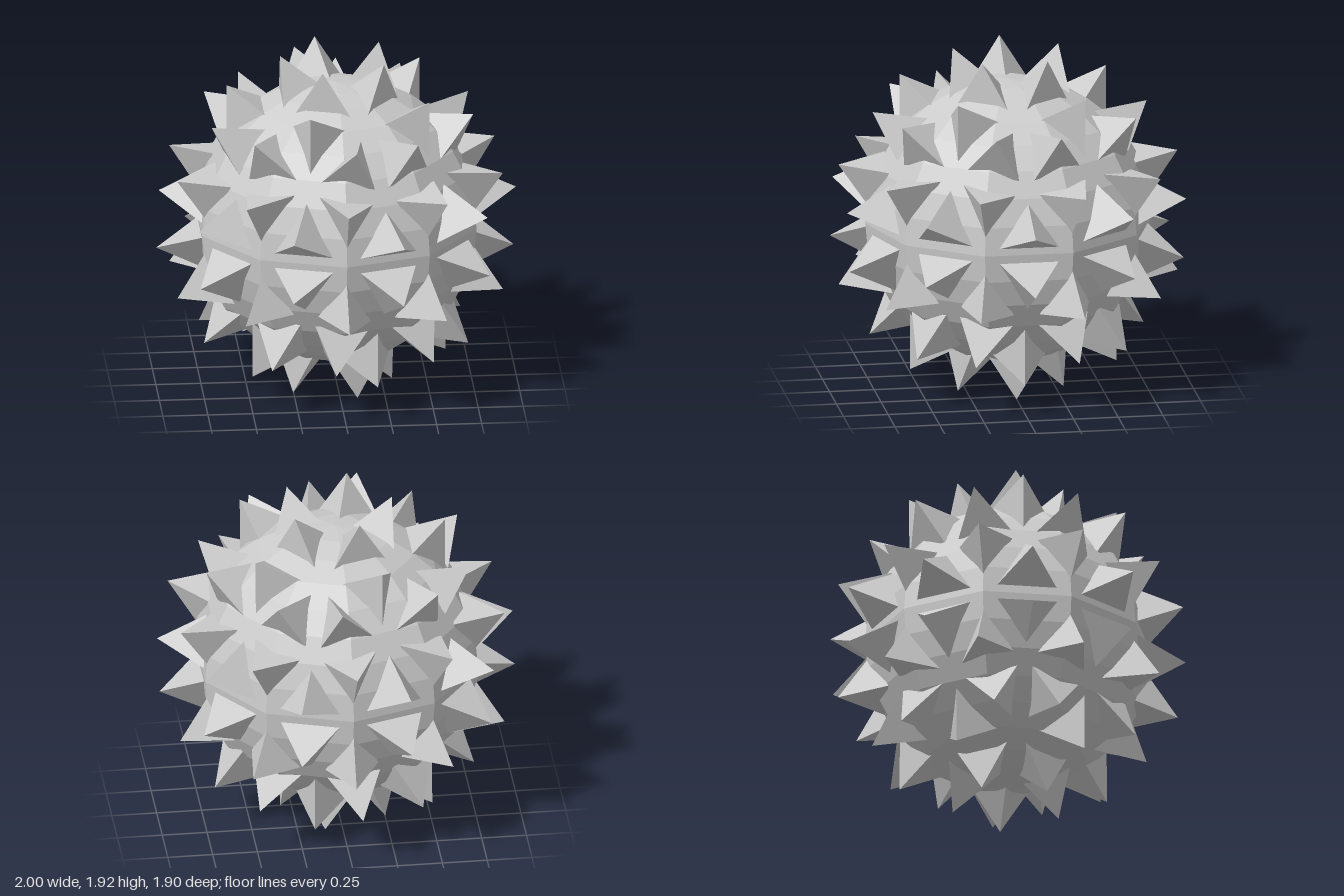
import * as THREE from 'three';

const RADIUS = 0.8, HEIGHT = 0.255, INSET = 0.68, CENTRE_Y = 0.96;

// Icosahedron with one corner straight up and an upper-ring corner on +x
function icosahedronFaces() {
  const top = new THREE.Vector3(0, RADIUS, 0), bottom = new THREE.Vector3(0, -RADIUS, 0);
  const ring = (y, offset) => Array.from({ length: 5 }, (_, i) => {
    const a = (i * 72 + offset) * Math.PI / 180;
    return new THREE.Vector3(2 * Math.cos(a), y, 2 * Math.sin(a)).setLength(RADIUS);
  });
  const up = ring(1, 0), low = ring(-1, 36), faces = [];
  for (let i = 0; i < 5; i++) {
    const j = (i + 1) % 5;
    faces.push([top, up[j], up[i]], [bottom, low[i], low[j]],
      [up[i], up[j], low[i]], [up[j], low[j], low[i]]);
  }
  return faces;
}

// Split a face in four, pushing the new corners out to the sphere
function splitFace([a, b, c]) {
  const mid = (p, q) => p.clone().add(q).setLength(RADIUS);
  const ab = mid(a, b), bc = mid(b, c), ca = mid(c, a);
  return [[a, ab, ca], [ab, b, bc], [ca, bc, c], [ab, bc, ca]];
}

// Three-sided spike standing on a shrunken copy of the face
function spikeGeometry([a, b, c]) {
  const centre = a.clone().add(b).add(c).divideScalar(3);
  const normal = b.clone().sub(a).cross(c.clone().sub(a)).normalize();
  const outward = normal.dot(centre) > 0;
  if (!outward) normal.negate();
  const base = (outward ? [a, b, c] : [a, c, b]).map(p => centre.clone().lerp(p, INSET));
  const tip = centre.clone().addScaledVector(normal, HEIGHT);
  const points = [];
  for (let i = 0; i < 3; i++) points.push(base[i], base[(i + 1) % 3], tip);
  const geometry = new THREE.BufferGeometry().setFromPoints(points);
  geometry.computeVertexNormals();
  return geometry;
}

export function createModel() {
  const model = new THREE.Group();
  model.name = 'spikyBall';
  model.position.y = CENTRE_Y;
  const material = new THREE.MeshStandardMaterial({ color: 0xcccccc, flatShading: true });

  // Ten-sided ball with an edge towards the front
  const body = new THREE.Mesh(new THREE.SphereGeometry(RADIUS, 10, 16), material);
  body.name = 'ball';
  body.rotation.y = Math.PI / 10;
  model.add(body);

  // Eighty spikes
  const spikes = new THREE.Group();
  spikes.name = 'spikes';
  for (const face of icosahedronFaces().flatMap(splitFace)) {
    const spike = new THREE.Mesh(spikeGeometry(face), material);
    spike.name = 'spike';
    spikes.add(spike);
  }
  model.add(spikes);
  return model;
}
